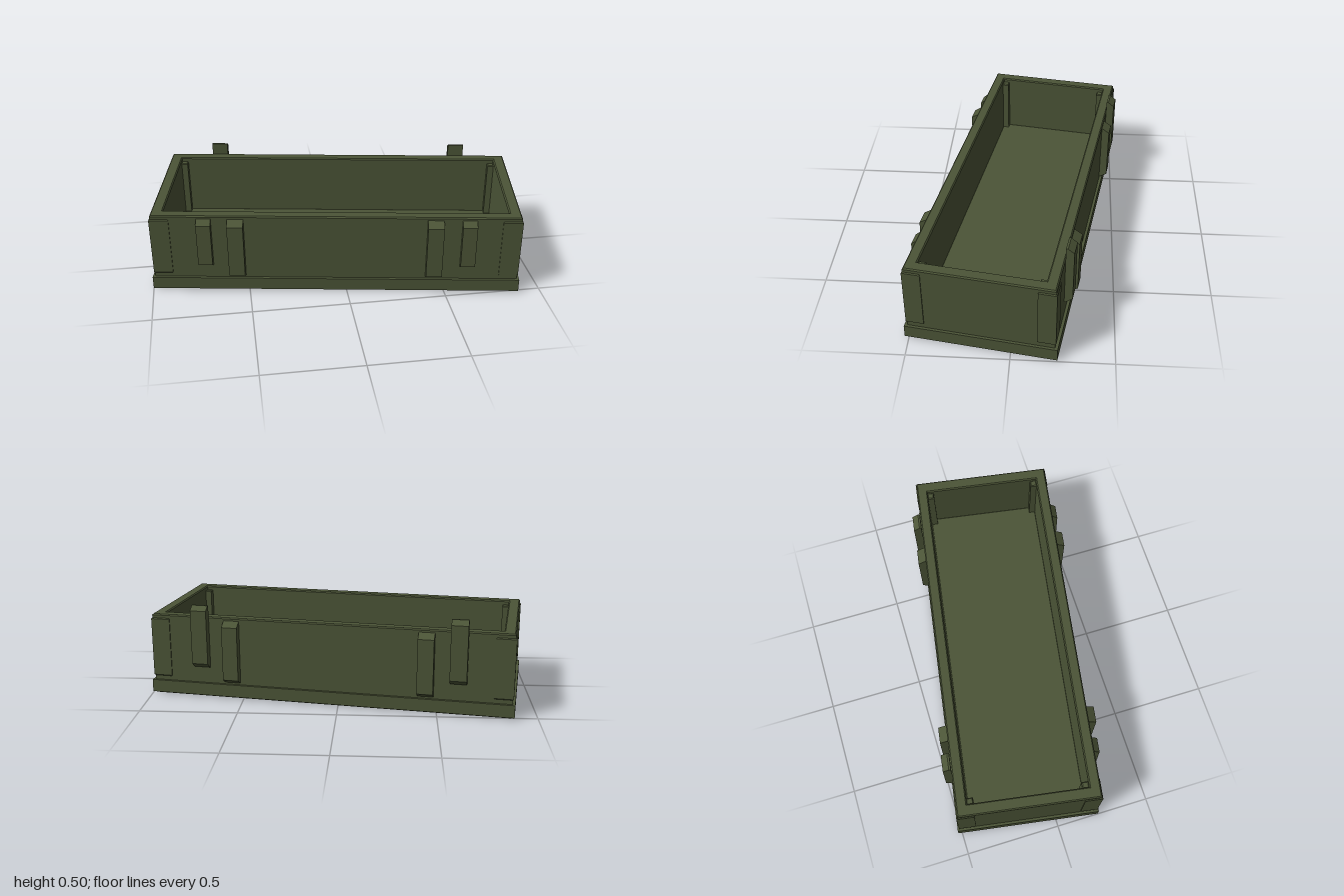
import * as THREE from 'three';

const material = new THREE.MeshStandardMaterial({ color: 0x4c5537, flatShading: true });

function rectangle(target, length, width) {
  const x = length / 2, z = width / 2;
  target.moveTo(-x, -z);
  target.lineTo(x, -z);
  target.lineTo(x, z);
  target.lineTo(-x, z);
  target.closePath();
  return target;
}

// Extrudes a plan shape upwards from y0 to y1, with bevelled edges kept inside the outline
function raise(name, shape, y0, y1, bevel = 0) {
  const geometry = new THREE.ExtrudeGeometry(shape, {
    depth: y1 - y0 - 2 * bevel, steps: 1, bevelEnabled: bevel > 0,
    bevelThickness: bevel, bevelSize: bevel, bevelOffset: -bevel, bevelSegments: 1,
  });
  geometry.translate(0, 0, bevel).rotateX(-Math.PI / 2).translate(0, y0, 0);
  const mesh = new THREE.Mesh(geometry, material);
  mesh.name = name;
  return mesh;
}

function frame(name, outer, inner, y0, y1, bevel) {
  const shape = rectangle(new THREE.Shape(), ...outer);
  shape.holes.push(rectangle(new THREE.Path(), ...inner));
  return raise(name, shape, y0, y1, bevel);
}

// Clip from a side profile of [distance from wall, height] points
function clip(name, profile, width, x, wall, side) {
  const shape = new THREE.Shape(profile.map(([d, y]) => new THREE.Vector2(d, y)));
  const geometry = new THREE.ExtrudeGeometry(shape, { depth: width, bevelEnabled: false });
  geometry.translate(0, 0, -width / 2).rotateY(-Math.PI / 2);
  const mesh = new THREE.Mesh(geometry, material);
  mesh.name = name;
  mesh.position.set(x, 0, side * wall);
  if (side < 0) mesh.rotation.y = Math.PI;
  return mesh;
}

export function createModel() {
  const model = new THREE.Group();
  model.name = 'crate';
  // The crate stands slightly turned
  const crate = new THREE.Group();
  crate.name = 'crateBody';
  crate.rotation.y = -0.156;
  model.add(crate);

  const body = [1.878, 0.725], cavity = [1.758, 0.612];

  // Walls, base band, bottom rim, floor and the sloped ledge around the floor
  crate.add(frame('walls', body, cavity, 0.012, 0.434, 0.006));
  crate.add(frame('baseBand', [1.905, 0.754], [1.8, 0.66], 0.008, 0.074, 0));
  crate.add(frame('bottomRim', [1.874, 0.721], [1.716, 0.566], 0, 0.03, 0));
  crate.add(raise('floor', rectangle(new THREE.Shape(), 1.78, 0.635), 0.022, 0.085));
  crate.add(frame('floorLedge', [1.79, 0.645], [1.72, 0.574], 0.06, 0.106, 0.018));

  // Corner guards outside, corner posts inside
  const reachX = 0.1, reachZ = 0.09, thick = 0.022;
  for (const sx of [-1, 1]) for (const sz of [-1, 1]) {
    const cx = sx * (body[0] / 2 + 0.005), cz = sz * (body[1] / 2 + 0.005);
    const points = [[0, 0], [reachX, 0], [reachX, thick], [thick, thick], [thick, reachZ], [0, reachZ]];
    const shape = new THREE.Shape(points.map(([a, b]) => new THREE.Vector2(cx - sx * a, -(cz - sz * b))));
    crate.add(raise('cornerGuard', shape, 0.096, 0.413, 0.005));

    const post = raise('cornerPost', rectangle(new THREE.Shape(), 0.036, 0.036), 0.084, 0.412, 0.005);
    post.position.set(sx * (cavity[0] / 2 - 0.015), 0, sz * (cavity[1] / 2 - 0.015));
    crate.add(post);
  }

  // Straps on both long sides, closed latches in front and raised ones behind
  const strap = [[-0.01, 0.083], [0, 0.083], [0.041, 0.108], [0.041, 0.392], [0, 0.418], [-0.01, 0.418]];
  const frontLatch = [[-0.01, 0.146], [0, 0.146], [0.034, 0.166], [0.03, 0.392], [0, 0.418], [-0.01, 0.418]];
  const backLatch = [[0, 0.162], [0.008, 0.162], [0.041, 0.188], [0.041, 0.472], [0.01, 0.495], [0, 0.495]];
  const wall = body[1] / 2;
  for (const sx of [-1, 1]) {
    for (const side of [-1, 1]) crate.add(clip('strap', strap, 0.082, sx * 0.506, wall, side));
    crate.add(clip('frontLatch', frontLatch, 0.074, sx * 0.672 + 0.005, wall, 1));
    crate.add(clip('backLatch', backLatch, 0.085, sx * 0.67, wall, -1));
  }
  return model;
}
